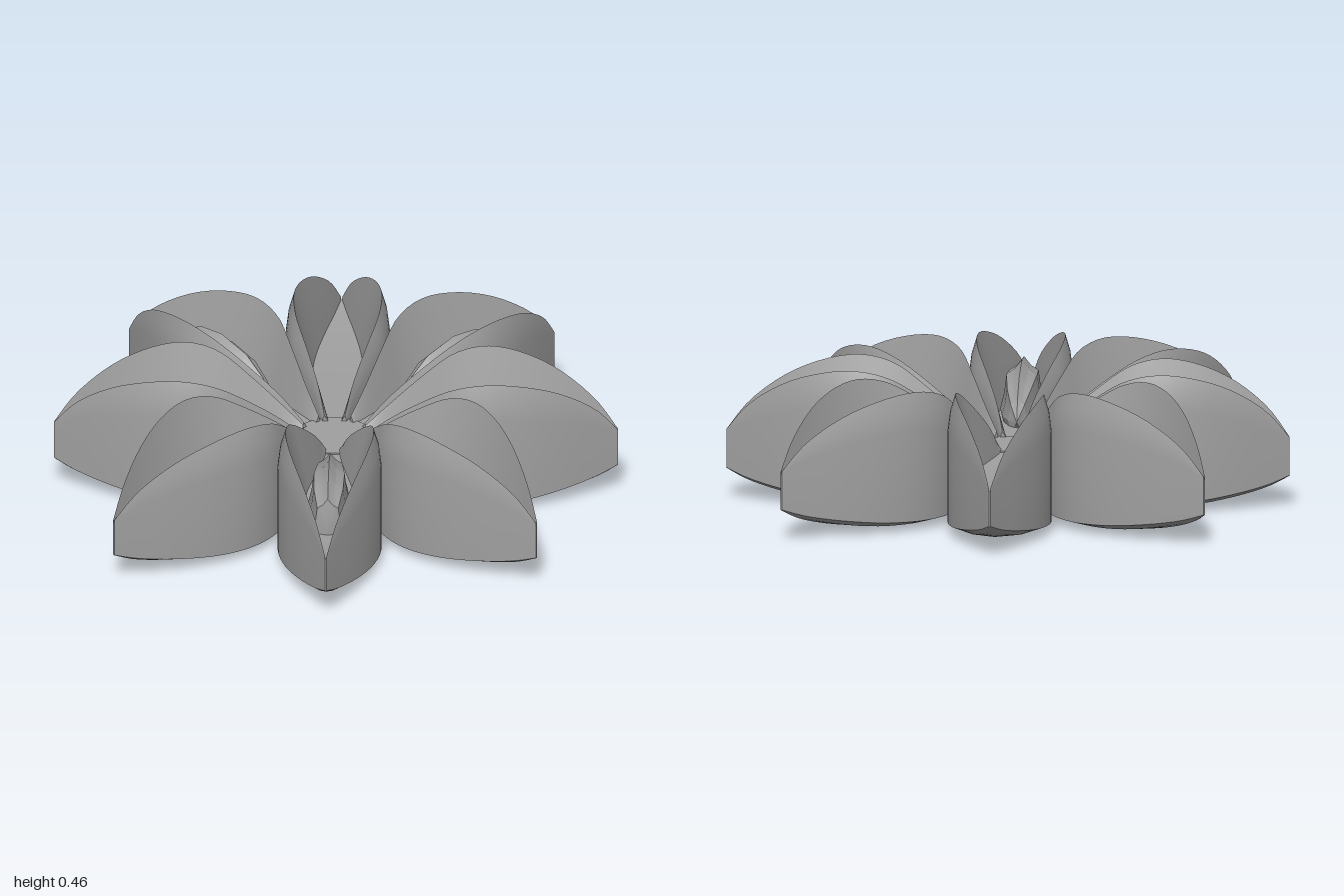
import * as THREE from 'three';
import { toCreasedNormals } from 'three/addons/utils/BufferGeometryUtils.js';

const SEGMENTS = 28;

// Stations along a petal, root to tip:
// distance, half width, keel y, lower edge y, shoulder y, rim y, floor y
const STATIONS = [
  [0.11, 0.040, 0.035, 0.055, 0.190, 0.215, 0.190],
  [0.20, 0.068, 0.022, 0.045, 0.235, 0.290, 0.190],
  [0.31, 0.115, 0.010, 0.036, 0.285, 0.370, 0.188],
  [0.42, 0.160, 0.002, 0.031, 0.320, 0.435, 0.187],
  [0.54, 0.171, 0.000, 0.030, 0.335, 0.460, 0.187],
  [0.67, 0.146, 0.008, 0.036, 0.330, 0.445, 0.190],
  [0.80, 0.098, 0.030, 0.052, 0.305, 0.400, 0.196],
  [0.92, 0.042, 0.062, 0.075, 0.268, 0.322, 0.206],
  [1.00, 0.003, 0.100, 0.102, 0.225, 0.230, 0.220],
];

// Closed cross-section of a petal, counter-clockwise from the keel
function petalSection([, w, keel, edge, shoulder, rim, floor]) {
  const half = [
    [0.60 * w, keel + 0.3 * (edge - keel)],
    [w, edge],
    [w, shoulder],
    [0.95 * w, shoulder + 0.55 * (rim - shoulder)],
    [0.85 * w, rim],
    [0.64 * w, floor + 0.45 * (rim - floor)],
    [0.48 * w, floor],
  ];
  const mirrored = half.map(([x, y]) => [-x, y]).reverse();
  return [[0, keel], ...half, [0, floor], ...mirrored];
}

function petalGeometry() {
  // One smooth curve for each column of the station table
  const curves = STATIONS[0].map((_, c) =>
    new THREE.SplineCurve(STATIONS.map((row, i) => new THREE.Vector2(i, row[c]))));
  const positions = [];
  const index = [];
  let n = 0;
  for (let k = 0; k <= SEGMENTS; k++) {
    const values = curves.map((curve) => curve.getPoint(k / SEGMENTS).y);
    const section = petalSection(values);
    n = section.length;
    for (const [x, y] of section) positions.push(x, y, values[0]);
  }
  for (let k = 0; k < SEGMENTS; k++) {
    for (let i = 0; i < n; i++) {
      const j = (i + 1) % n;
      const a = k * n + i, b = k * n + j;
      index.push(a, b, a + n, b, b + n, a + n);
    }
  }
  // End caps at the root and the tip
  const last = SEGMENTS * n;
  for (let i = 1; i < n - 1; i++) {
    index.push(0, i + 1, i, last, last + i, last + i + 1);
  }
  const geometry = new THREE.BufferGeometry();
  geometry.setAttribute('position', new THREE.Float32BufferAttribute(positions, 3));
  geometry.setIndex(index);
  return toCreasedNormals(geometry, 0.35);
}

// Ridged kernel, pointed toward the hub and blunt at the outer end
function seedGeometry() {
  const profile = [[0, -0.22], [0.45, -0.18], [0.8, -0.1], [1, 0.02], [0.95, 0.12], [0.68, 0.2], [0, 0.215]];
  const sides = 16;
  const geometry = new THREE.LatheGeometry(profile.map(([r, y]) => new THREE.Vector2(r, y)), sides);
  geometry.rotateX(Math.PI / 2);
  const p = geometry.attributes.position;
  for (let i = 0; i < p.count; i++) {
    const ridge = Math.floor(i / profile.length) % 2 ? 0.88 : 1;
    p.setXY(i, p.getX(i) * ridge * 0.072, p.getY(i) * ridge * 0.165);
  }
  return toCreasedNormals(geometry, 0.35);
}

export function createModel() {
  const gray = new THREE.MeshStandardMaterial({ color: 0xa0a0a0 });
  gray.name = 'gray';

  const model = new THREE.Group();
  model.name = 'openSeedPod';

  // Central disc, recessed underneath
  const hub = new THREE.Mesh(new THREE.CylinderGeometry(0.13, 0.13, 0.1, 40), gray);
  hub.name = 'hub';
  hub.position.y = 0.145;
  model.add(hub);

  // Eight boat-shaped petals, five of them holding a seed
  const petalShape = petalGeometry();
  const seedShape = seedGeometry();
  const lengths = [0.975, 0.94, 1, 0.94, 0.98, 0.925, 1, 0.95];
  const hasSeed = [false, true, true, false, true, true, false, true];
  lengths.forEach((length, i) => {
    const arm = new THREE.Group();
    arm.name = `arm${i + 1}`;
    arm.rotation.y = (i * Math.PI) / 4;

    const petal = new THREE.Mesh(petalShape, gray);
    petal.name = 'petal';
    petal.scale.z = length;
    arm.add(petal);

    if (hasSeed[i]) {
      const seed = new THREE.Mesh(seedShape, gray);
      seed.name = 'seed';
      seed.position.set(0, 0.207, 0.525 * (0.5 + length / 2));
      arm.add(seed);
    }
    model.add(arm);
  });
  return model;
}
